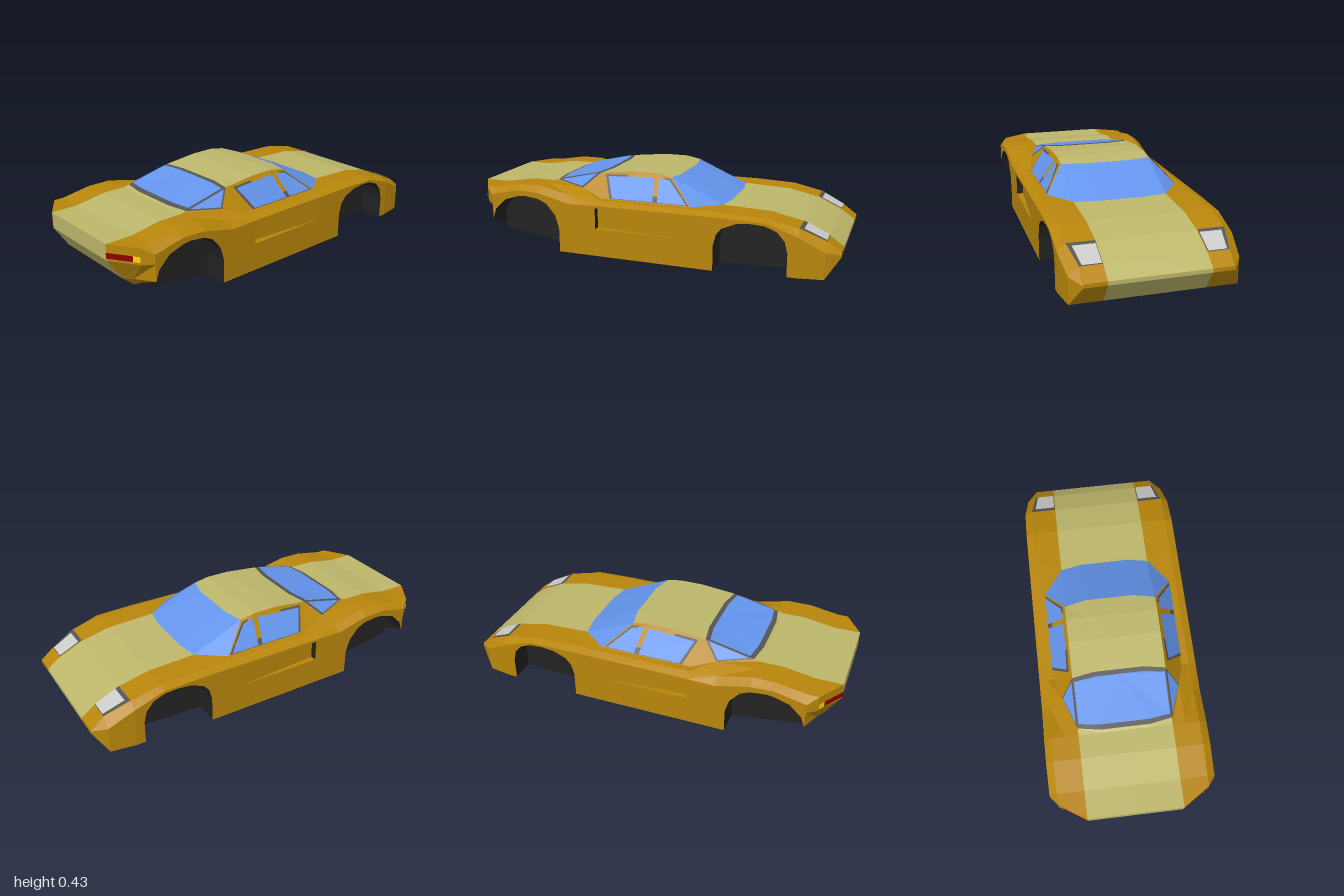
import * as THREE from 'three';

const COLORS = {
  bodyPaint: 0xb8860b, centreStripe: 0xbdb76b, windscreen: 0x6495ed, windowGlass: 0x6495ed,
  windowFrame: 0x555555, underbody: 0x222222, intake: 0x222222, headlightFrame: 0x555555,
  headlight: 0xcccccc, tailLight: 0x8b0000, indicator: 0xffd700,
};

export function createModel() {
  const parts = {};

  // Adds a triangle and its mirror image to a named part
  function tri(part, a, b, c) {
    const v = [a, b, c].map((p) => new THREE.Vector3(...p));
    const n = v[1].clone().sub(v[0]).cross(v[2].clone().sub(v[0]));
    if (n.length() < 1e-8) return;
    const list = (parts[part] ??= []);
    list.push(...a, ...b, ...c);
    for (const p of [a, c, b]) list.push(-p[0], p[1], p[2]);
  }
  function panel(part, pts) {
    for (let i = 1; i < pts.length - 1; i++) tri(part, pts[0], pts[i], pts[i + 1]);
  }
  // Skins a grid of points; partAt picks the part for each cell
  function loft(rows, partAt) {
    for (let r = 0; r < rows.length - 1; r++) {
      for (let c = 0; c < rows[r].length - 1; c++) {
        const part = partAt(r, c);
        const [a, b, d, e] = [rows[r][c], rows[r + 1][c], rows[r][c + 1], rows[r + 1][c + 1]];
        tri(part, a, b, d);
        tri(part, d, b, e);
      }
    }
  }
  // Linear lookup in a table of [z, ...values]
  function lookup(table, z) {
    if (z <= table[0][0]) return table[0].slice(1);
    for (let i = 1; i < table.length; i++) {
      const [p, q] = [table[i - 1], table[i]];
      if (z <= q[0]) {
        const t = (z - p[0]) / (q[0] - p[0]);
        return p.slice(1).map((v, k) => v + (q[k + 1] - v) * t);
      }
    }
    return table[table.length - 1].slice(1);
  }

  // Shoulder crease x, y and outer edge x, y along the length
  const edges = [
    [-1, 0.35, 0.14, 0.355, 0.13], [-0.93, 0.355, 0.19, 0.405, 0.15],
    [-0.8, 0.385, 0.25, 0.425, 0.22], [-0.64, 0.385, 0.285, 0.425, 0.272],
    [-0.43, 0.385, 0.293, 0.425, 0.277], [0.25, 0.385, 0.295, 0.425, 0.275],
    [0.4, 0.385, 0.305, 0.425, 0.272], [0.58, 0.385, 0.345, 0.425, 0.315],
    [0.7, 0.385, 0.345, 0.425, 0.32], [0.86, 0.385, 0.318, 0.425, 0.285],
  ];
  const floorLine = [[-1, 0.12], [-0.93, 0.015], [-0.755, 0.015], [-0.385, 0], [0.46, 0.004], [0.86, 0.065]];

  // Upper body: bonnet, cabin and rear deck
  const upperRow = (ty, tz, bow, belt, sz) => {
    const [sx, sy] = lookup(edges, sz);
    return [[0, ty, tz + bow], [0.13, ty, tz + bow], [0.245, ty, tz], belt, [sx, sy, sz]];
  };
  const flat = (z) => {
    const y = lookup(edges, z)[1];
    return upperRow(y, z, 0, [0.31, y, z], z);
  };
  const frontCorner = [0.35, 0.295, -0.245], rearCorner = [0.31, 0.335, 0.37];
  const upper = [
    ...[-1, -0.93, -0.8, -0.64, -0.43].map(flat),
    upperRow(0.295, -0.385, -0.02, frontCorner, -0.245),
    upperRow(0.415, -0.11, -0.025, frontCorner, -0.245),
    upperRow(0.43, -0.03, 0, [0.35, 0.295, -0.03], -0.03),
    upperRow(0.43, 0.1, 0, [0.348, 0.295, 0.1], 0.1),
    upperRow(0.41, 0.29, -0.02, [0.345, 0.295, 0.25], 0.25),
    upperRow(0.41, 0.29, -0.02, rearCorner, 0.4),
    upperRow(0.352, 0.545, 0.02, rearCorner, 0.4),
    ...[0.58, 0.7, 0.86].map(flat),
    upperRow(0.318, 1, 0, [0.315, 0.318, 0.955], 0.91),
  ];
  loft(upper, (r, c) => {
    if (r === 5 && c < 3) return 'windscreen';
    if (r === 10 && c < 3) return 'windowFrame';
    return c < 2 ? 'centreStripe' : 'bodyPaint';
  });

  // Lower body stations: [z, sill or arch height, intake depth]
  const frontArch = [[-0.755, 0.13], [-0.74, 0.19], [-0.7, 0.235], [-0.64, 0.258], [-0.57, 0.262],
    [-0.5, 0.255], [-0.43, 0.225], [-0.4, 0.19], [-0.385, 0.13]];
  const rearArch = [[0.46, 0.13], [0.48, 0.2], [0.53, 0.26], [0.58, 0.283], [0.66, 0.292],
    [0.7, 0.288], [0.78, 0.262], [0.84, 0.205], [0.86, 0.15]];
  const stations = [[-1], [-0.93], [-0.8], [-0.755], ...frontArch, [-0.385], [-0.22],
    [0.25, undefined, 0.035], [0.25], [0.4], [0.46], ...rearArch];
  const lower = stations.map(([z, arch, depth = 0]) => {
    const [sx, sy, ux, uy] = lookup(edges, z);
    const base = lookup(floorLine, z)[0];
    const low = arch ?? base;
    const m1 = Math.max(low, Math.min(0.262, uy));
    const m2 = Math.max(low, Math.min(0.15, uy));
    return [[sx, sy, z], [ux, uy, z], [ux, m1, z], [ux - depth, m1, z], [ux - depth, m2, z], [ux, m2, z],
      [ux, low, z], [0.295, low, z], [0.295, base, z], [0.245, base, z], [0, base, z]];
  });
  // Closes the back of the rear wheel well
  const last = lower[lower.length - 1].slice();
  last[7] = last[8] = [0.295, 0.095, 0.86];
  lower.push(last);
  const intakeRow = stations.findIndex((s) => s[2]);
  loft(lower, (r, c) => {
    if (r === 0 && c > 5) return c === 9 ? 'centreStripe' : 'bodyPaint';
    if (r === intakeRow) return c > 5 ? 'underbody' : 'intake';
    return c > 5 ? 'underbody' : 'bodyPaint';
  });

  // Nose edge
  panel('centreStripe', [[0, 0.14, -1], [0.245, 0.14, -1], [0.245, 0.12, -1], [0, 0.12, -1]]);
  panel('bodyPaint', [[0.245, 0.14, -1], [0.35, 0.14, -1], [0.355, 0.13, -1], [0.355, 0.12, -1], [0.245, 0.12, -1]]);

  // Tail
  loft([
    [[0, 0.318, 1], [0.245, 0.318, 1], [0.385, 0.318, 0.91], [0.425, 0.285, 0.86]],
    [[0, 0.235, 1], [0.245, 0.235, 1], [0.385, 0.235, 0.91], [0.425, 0.235, 0.86]],
    [[0, 0.12, 0.925], [0.245, 0.12, 0.925], [0.3, 0.13, 0.9], [0.425, 0.15, 0.86]],
    [[0, 0.065, 0.86], [0.245, 0.065, 0.86], [0.295, 0.095, 0.86], [0.425, 0.15, 0.86]],
  ], (r, c) => (c === 0 ? 'centreStripe' : 'bodyPaint'));
  tri('bodyPaint', [0.385, 0.318, 0.86], [0.385, 0.318, 0.91], [0.425, 0.285, 0.86]);

  // Tail lamps on the angled corners
  const lamp = (part, x0, x1) => {
    const at = (x, y) => [x + 0.002, y, 1.004 - (x - 0.245) * 0.643];
    panel(part, [at(x0, 0.248), at(x1, 0.248), at(x1, 0.277), at(x0, 0.277)]);
  };
  lamp('tailLight', 0.245, 0.355);
  lamp('indicator', 0.355, 0.385);

  // Headlights lying on the bonnet slope
  const onBonnet = (lift) => ([x, z]) => [x, lookup(edges, z)[1] + lift, z];
  panel('headlightFrame', [[0.247, -0.8], [0.383, -0.8], [0.354, -0.93], [0.247, -0.93]].map(onBonnet(0.003)));
  panel('headlight', [[0.25, -0.82], [0.36, -0.82], [0.342, -0.928], [0.25, -0.928]].map(onBonnet(0.006)));

  // Side windows on the leaning cabin wall, as [z, y] outlines
  const onCabin = (lift) => ([z, y]) => [0.349 - (y - 0.295) * 0.81 + lift, y, z];
  panel('windowFrame', [[-0.235, 0.298], [0.2, 0.298], [0.255, 0.407], [-0.03, 0.419], [-0.11, 0.409]].map(onCabin(0.002)));
  panel('windowGlass', [[-0.04, 0.302], [0.185, 0.302], [0.238, 0.4], [-0.015, 0.412]].map(onCabin(0.006)));
  panel('windowGlass', [[-0.22, 0.302], [-0.065, 0.302], [-0.045, 0.411], [-0.105, 0.403]].map(onCabin(0.006)));

  // Rear window and its wrapped quarter glass
  panel('windowGlass', [[0, 0.409, 0.295], [0, 0.361, 0.54], [0.13, 0.361, 0.54], [0.238, 0.361, 0.525],
    [0.238, 0.409, 0.312], [0.13, 0.409, 0.295]]);
  const quarter = [[0.245, 0.41, 0.29], [0.245, 0.352, 0.545], rearCorner];
  const mid = [0, 1, 2].map((k) => (quarter[0][k] + quarter[1][k] + quarter[2][k]) / 3);
  panel('windowGlass', quarter.map((p) => p.map((v, k) => mid[k] + (v - mid[k]) * 0.84 + [0.003, 0.003, 0.001][k])));

  const car = new THREE.Group();
  car.name = 'car';
  for (const [name, list] of Object.entries(parts)) {
    const geometry = new THREE.BufferGeometry();
    geometry.setAttribute('position', new THREE.Float32BufferAttribute(list, 3));
    geometry.computeVertexNormals();
    const material = new THREE.MeshStandardMaterial({ color: COLORS[name], flatShading: true, side: THREE.DoubleSide });
    const mesh = new THREE.Mesh(geometry, material);
    mesh.name = name;
    car.add(mesh);
  }
  return car;
}
